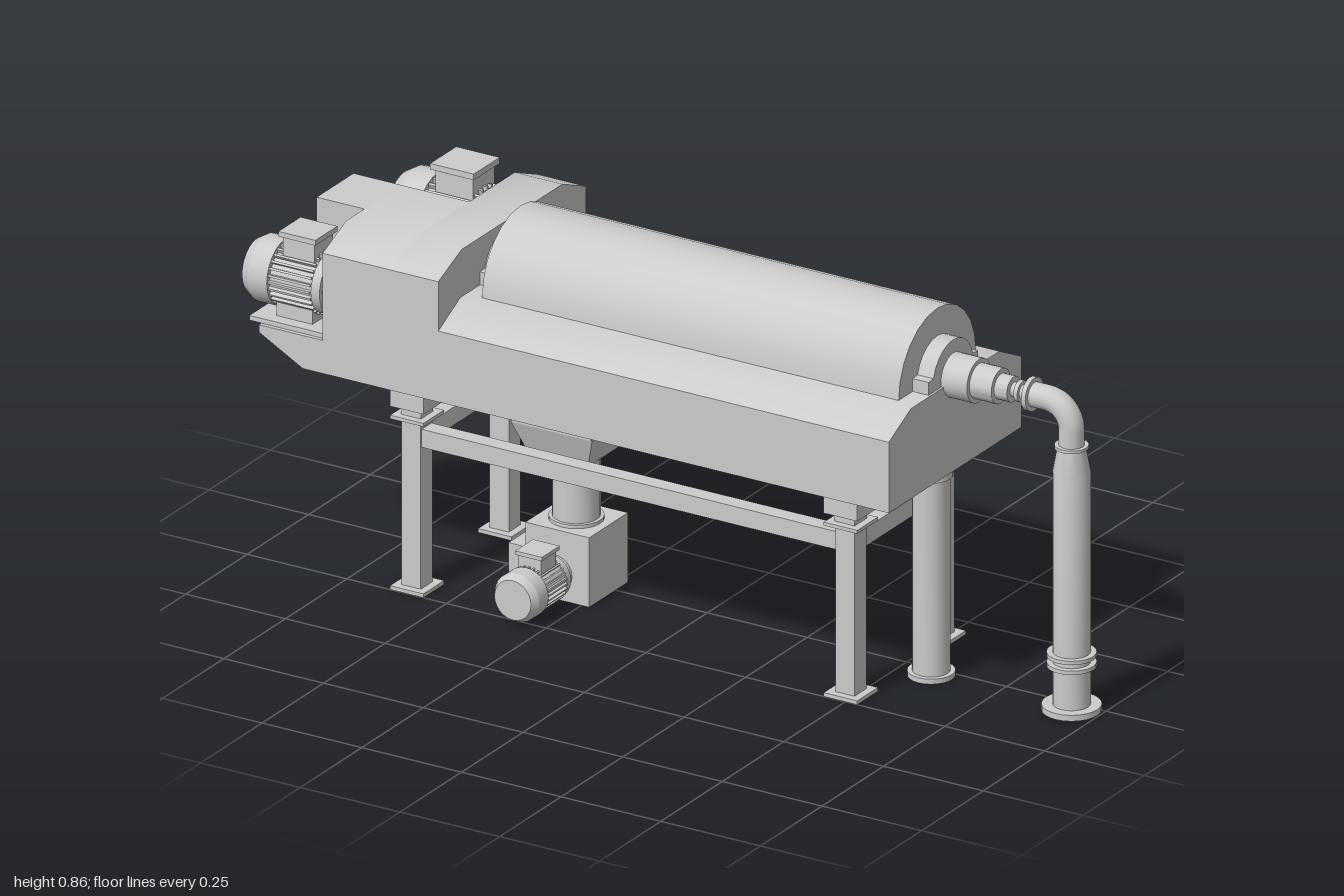
import * as THREE from 'three';
import { toCreasedNormals } from 'three/addons/utils/BufferGeometryUtils.js';

const mat = new THREE.MeshStandardMaterial({ color: 0xcccccc });
const AXIS_Z = 0.03; // centre line of the machine

function add(parent, name, geo, x = 0, y = 0, z = 0) {
  const m = new THREE.Mesh(geo, mat);
  m.name = name;
  m.position.set(x, y, z);
  parent.add(m);
  return m;
}

// Box given by its min and max on each axis
function box(parent, name, x0, x1, y0, y1, z0, z1) {
  return add(parent, name, new THREE.BoxGeometry(x1 - x0, y1 - y0, z1 - z0),
    (x0 + x1) / 2, (y0 + y1) / 2, (z0 + z1) / 2);
}

// Prism along x from a cross-section of [z, y] points
function prismX(parent, name, pts, x0, x1) {
  const shape = new THREE.Shape(pts.map(([z, y]) => new THREE.Vector2(-z, y)));
  const geo = new THREE.ExtrudeGeometry(shape, { depth: x1 - x0, bevelEnabled: false });
  geo.rotateY(Math.PI / 2);
  return add(parent, name, toCreasedNormals(geo, 0.5), x0);
}

// Turned part from [radius, height] points
function turned(pts, seg = 24) {
  const geo = new THREE.LatheGeometry(pts.map(([r, h]) => new THREE.Vector2(r, h)), seg);
  return toCreasedNormals(geo, 0.5);
}

function arc(r, cy, n = 12) {
  return Array.from({ length: n + 1 }, (_, i) => {
    const a = Math.PI * i / n;
    return [AXIS_Z + r * Math.cos(a), cy + r * Math.sin(a)];
  });
}

// Finned motor: the shaft flange is at the origin, the fan end at +x
function motor(name, len, r) {
  const g = new THREE.Group();
  g.name = name;
  const body = add(g, 'motorBody', turned([
    [0, 0], [r * 0.75, 0], [r * 0.75, len * 0.1], [r * 0.9, len * 0.1], [r * 0.9, len * 0.2],
    [r * 0.84, len * 0.2], [r * 0.84, len * 0.68], [r, len * 0.68], [r, len * 0.9],
    [r * 0.82, len], [0, len]]));
  body.rotation.z = -Math.PI / 2;
  const n = 28;
  for (let i = 0; i < n; i++) {
    const a = (i / n) * Math.PI * 2;
    const fin = add(g, 'coolingFin', new THREE.BoxGeometry(len * 0.48, r * 0.14, r * 0.07),
      len * 0.44, Math.cos(a) * r * 0.89, Math.sin(a) * r * 0.89);
    fin.rotation.x = a;
  }
  box(g, 'terminalBox', len * 0.24, len * 0.6, r * 0.7, r * 1.34, -r * 0.5, r * 0.5);
  box(g, 'terminalLid', len * 0.21, len * 0.63, r * 1.34, r * 1.5, -r * 0.6, r * 0.6);
  return g;
}

export function createModel() {
  const root = new THREE.Group();
  root.name = 'decanterCentrifuge';

  // Main trough and the tray under the drive
  prismX(root, 'mainTrough', [[0.3, 0.49], [-0.24, 0.49], [-0.24, 0.655], [-0.15, 0.7],
    [0.21, 0.7], [0.3, 0.655]], -0.49, 0.64);
  const side = new THREE.Shape([[-0.83, 0.49], [-0.49, 0.49], [-0.49, 0.567], [-0.94, 0.567],
    [-0.94, 0.55]].map(p => new THREE.Vector2(...p)));
  add(root, 'driveTray', new THREE.ExtrudeGeometry(side, { depth: 0.54, bevelEnabled: false }), 0, 0, -0.24);

  // Drum cover and bearing blocks at both ends
  prismX(root, 'drumCover', arc(0.157, 0.7), -0.45, 0.595);
  for (const [x0, x1] of [[-0.49, -0.45], [0.595, 0.635]]) {
    prismX(root, 'bearingBlock', [[0.13, 0.7], [0.13, 0.73], ...arc(0.083, 0.71).slice(1, -1),
      [-0.07, 0.73], [-0.07, 0.7]], x0, x1);
  }

  // Stepped drive housing
  prismX(root, 'beltGuard', [[0.3, 0.565], [0.3, 0.77], [0.205, 0.81], [-0.205, 0.81],
    [-0.3, 0.77], [-0.3, 0.565]], -0.61, -0.49);
  prismX(root, 'driveHousing', [[0.3, 0.565], [0.3, 0.77], [0.205, 0.81], [-0.02, 0.81],
    [-0.02, 0.565]], -0.78, -0.61);
  box(root, 'gearHousing', -0.9, -0.78, 0.565, 0.81, -0.02, 0.13);

  // Drive motors on their base plates
  const front = motor('frontDriveMotor', 0.22, 0.075);
  front.position.set(-0.78, 0.66, 0.21);
  front.rotation.y = Math.PI;
  const rear = motor('rearDriveMotor', 0.26, 0.088);
  rear.position.set(-0.61, 0.69, -0.18);
  rear.rotation.y = Math.PI;
  root.add(front, rear);
  box(root, 'motorPlate', -0.97, -0.78, 0.567, 0.578, 0.13, 0.29);
  box(root, 'motorPlate', -0.86, -0.61, 0.567, 0.578, -0.27, -0.09);
  box(root, 'motorFoot', -0.92, -0.83, 0.575, 0.61, 0.16, 0.26);
  box(root, 'motorFoot', -0.79, -0.68, 0.575, 0.625, -0.24, -0.12);

  // Support frame
  const legX = [-0.6, 0.488], legZ = [0.208, -0.15];
  for (const x of legX) {
    for (const z of legZ) {
      const square = (name, h, y0, y1) => box(root, name, x - h, x + h, y0, y1, z - h, z + h);
      square('footPlate', 0.042, 0, 0.009);
      square('leg', 0.024, 0.009, 0.398);
      square('legTopPlate', 0.042, 0.398, 0.406);
      square('damperNeck', 0.025, 0.406, 0.427);
      square('damperBlock', 0.042, 0.427, 0.49);
    }
    box(root, 'crossRail', x - 0.02, x + 0.02, 0.338, 0.38, legZ[1], legZ[0]);
  }
  for (const z of legZ) box(root, 'longRail', legX[0], legX[1], 0.338, 0.38, z - 0.02, z + 0.02);

  // Solids hopper, discharge pipe and bottom gearbox
  const hx = -0.31;
  box(root, 'hopper', hx - 0.1, hx + 0.1, 0.4, 0.49, AXIS_Z - 0.102, AXIS_Z + 0.102);
  const taper = new THREE.CylinderGeometry(0.102 * Math.SQRT2, 0.075 * Math.SQRT2, 0.075, 4, 1).toNonIndexed();
  taper.rotateY(Math.PI / 4);
  taper.computeVertexNormals();
  add(root, 'hopperTaper', taper, hx, 0.3625, AXIS_Z);
  add(root, 'dischargePipe', turned([[0, 0.155], [0.06, 0.155], [0.06, 0.17], [0.052, 0.17],
    [0.052, 0.328], [0, 0.328]]), hx, 0, AXIS_Z);
  box(root, 'dischargeBox', -0.39, -0.23, 0, 0.162, -0.05, 0.108);
  box(root, 'sideBox', -0.45, -0.39, 0, 0.09, -0.02, 0.08);
  const low = motor('dischargeMotor', 0.173, 0.056);
  low.position.set(-0.315, 0.061, 0.108);
  low.rotation.y = -Math.PI / 2;
  root.add(low);

  // Liquid drain pipe
  add(root, 'drainPipe', turned([[0, 0], [0.052, 0], [0.052, 0.012], [0.041, 0.012], [0.041, 0.465],
    [0.047, 0.465], [0.047, 0.49], [0, 0.49]]), 0.58, 0, AXIS_Z);

  // Feed inlet: stepped coupling, elbow and standpipe
  const inlet = add(root, 'feedCoupling', turned([[0, 0], [0.05, 0], [0.05, 0.065], [0.04, 0.065],
    [0.04, 0.12], [0.029, 0.12], [0.029, 0.152], [0.016, 0.152], [0.016, 0.165], [0.024, 0.165],
    [0.024, 0.175], [0.016, 0.175], [0.016, 0.193], [0.038, 0.193], [0.038, 0.204], [0, 0.204]]),
    0.635, 0.712, AXIS_Z);
  inlet.rotation.z = -Math.PI / 2;
  const px = 0.932, bend = 0.06;
  const path = new THREE.CurvePath();
  const v = (x, y) => new THREE.Vector3(x, y, AXIS_Z);
  path.add(new THREE.LineCurve3(v(0.835, 0.712), v(px - bend, 0.712)));
  path.add(new THREE.CubicBezierCurve3(v(px - bend, 0.712), v(px - bend * 0.45, 0.712),
    v(px, 0.712 - bend * 0.45), v(px, 0.712 - bend)));
  path.add(new THREE.LineCurve3(v(px, 0.712 - bend), v(px, 0.61)));
  add(root, 'feedElbow', new THREE.TubeGeometry(path, 32, 0.028, 20));
  add(root, 'feedStandpipe', turned([[0, 0], [0.065, 0], [0.065, 0.014], [0.041, 0.014],
    [0.041, 0.103], [0.054, 0.103], [0.054, 0.112], [0.041, 0.112], [0.041, 0.126], [0.054, 0.126],
    [0.054, 0.135], [0.041, 0.135], [0.041, 0.555], [0.031, 0.61], [0.037, 0.61], [0.037, 0.617],
    [0, 0.617]]), px, 0, AXIS_Z);

  return root;
}
